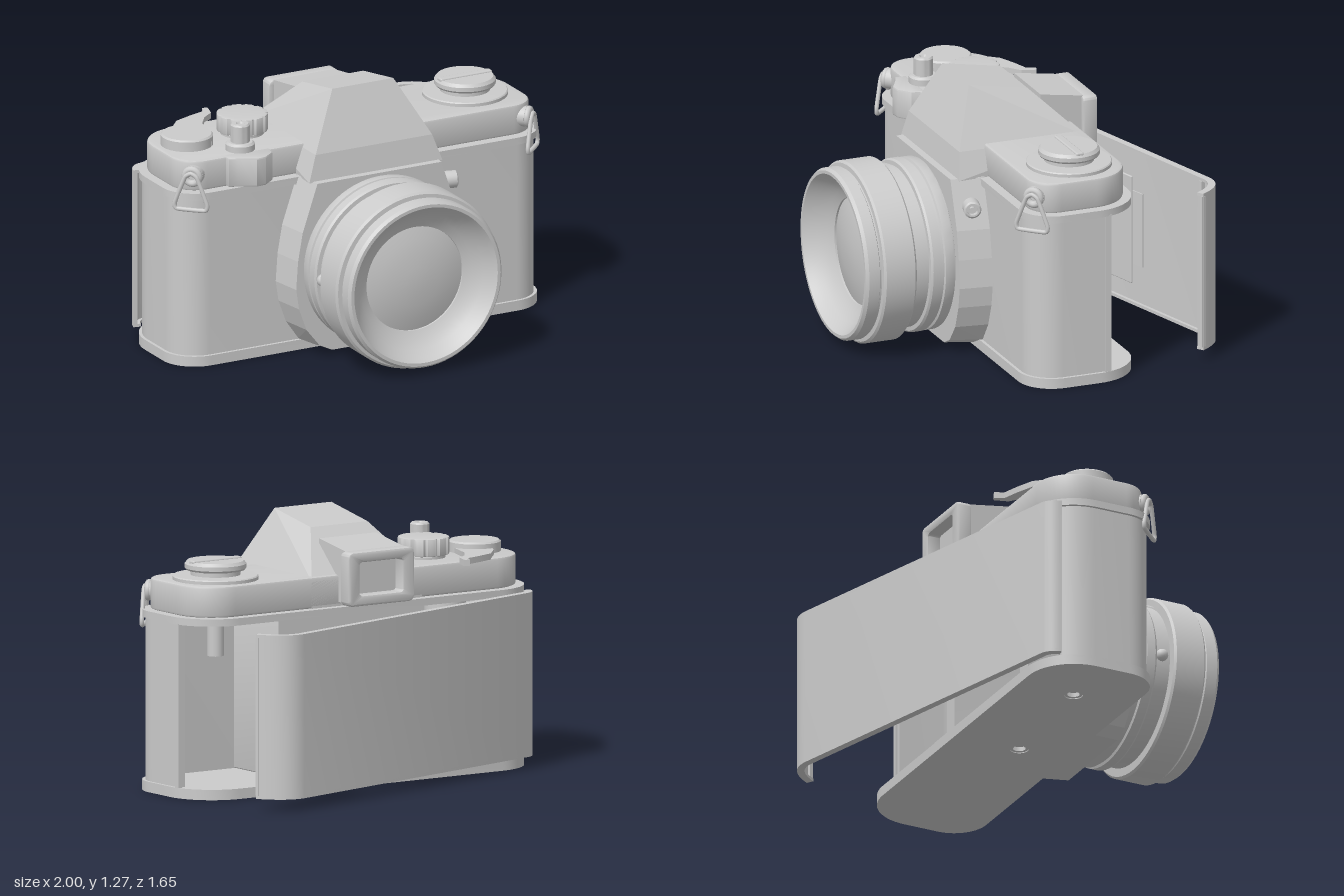
import * as THREE from 'three';
import { toCreasedNormals } from 'three/addons/utils/BufferGeometryUtils.js';
import { ConvexGeometry } from 'three/addons/geometries/ConvexGeometry.js';
import { RoundedBoxGeometry } from 'three/addons/geometries/RoundedBoxGeometry.js';

const grey = new THREE.MeshStandardMaterial({ color: 0xcccccc });

export function createModel() {
  const model = new THREE.Group();

  const add = (name, geo, pos = [0, 0, 0], parent = model) => {
    const mesh = new THREE.Mesh(geo, grey);
    mesh.name = name;
    mesh.position.set(...pos);
    parent.add(mesh);
    return mesh;
  };
  const crease = (geo, angle = 0.6) => toCreasedNormals(geo, angle);
  const v2 = (pts) => pts.map(([x, y]) => new THREE.Vector2(x, y));

  // Upright slab from a plan outline of [x, z] points
  const slab = (pts, y0, y1, holes = [], bevel = 0) => {
    const shape = new THREE.Shape(v2(pts.map(([x, z]) => [x, -z])));
    for (const [x, z, r] of holes) shape.holes.push(new THREE.Path().absarc(x, -z, r, 0, Math.PI * 2));
    const geo = new THREE.ExtrudeGeometry(shape, {
      depth: y1 - y0 - 2 * bevel, bevelEnabled: bevel > 0, bevelSize: bevel,
      bevelThickness: bevel, bevelOffset: -bevel, bevelSegments: 2, curveSegments: 20,
    });
    return crease(geo.rotateX(-Math.PI / 2).translate(0, y0 + bevel, 0));
  };
  // Turned part around the upright axis; profile runs upward in [radius, height]
  const turned = (profile, seg = 48, start = 0, sweep = Math.PI * 2) =>
    crease(new THREE.LatheGeometry(v2(profile), seg, start, sweep));
  const disc = (r, h, bevel = 0.008) =>
    turned([[0, 0], [r, 0], [r, h - bevel], [r - bevel, h], [0, h]]);
  const arc = (cx, cz, r, a0, a1, n = 14) => Array.from({ length: n + 1 }, (_, i) => {
    const a = (a0 + (a1 - a0) * i / n) * Math.PI / 180;
    return [cx + r * Math.cos(a), cz + r * Math.sin(a)];
  });
  // Band of thickness t along an open plan path
  const ribbon = (path, t) => {
    const inner = path.map(([x, z], i) => {
      const a = path[Math.max(i - 1, 0)], b = path[Math.min(i + 1, path.length - 1)];
      const dx = b[0] - a[0], dz = b[1] - a[1], l = Math.hypot(dx, dz);
      return [x - dz / l * t, z + dx / l * t];
    });
    return [...path, ...inner.reverse()];
  };
  const frontCorners = (d) => [...arc(0.83, 0.05, 0.17 - d, 0, 90), ...arc(-0.83, 0.05, 0.17 - d, 90, 180)];
  const outline = (d) => [...frontCorners(d),
    ...arc(-0.76, -0.13, 0.24 - d, 180, 270), ...arc(0.76, -0.13, 0.24 - d, 270, 360)];

  // Body shell, open at the back
  add('basePlate', slab(outline(0), 0, 0.05, [[0, -0.03, 0.045], [-0.66, -0.08, 0.045]]));
  for (const x of [0, -0.66]) {
    const z = x ? -0.08 : -0.03;
    add('tripodSocket', turned([[0.03, 0.004], [0.045, 0.004], [0.045, 0.08], [0, 0.08]], 24), [x, 0, z]);
    add('socketFloor', disc(0.04, 0.02), [x, 0.03, z]);
  }
  const wall = [[0.985, -0.18], ...frontCorners(0.015), ...arc(-0.76, -0.13, 0.225, 180, 222, 8)];
  add('bodyWall', slab(ribbon(wall, 0.035), 0.05, 0.84));
  add('doorSeat', new THREE.BoxGeometry(0.02, 0.79, 0.03), [0.985, 0.445, -0.175]);
  add('topPlateLip', slab(outline(0), 0.835, 0.87));
  add('topPlate', slab(outline(0.04), 0.87, 1.02, [], 0.012));

  // Film chamber inside the body
  const rect = (s, w, h, r) => {
    s.moveTo(-w + r, -h).lineTo(w - r, -h).quadraticCurveTo(w, -h, w, -h + r)
      .lineTo(w, h - r).quadraticCurveTo(w, h, w - r, h).lineTo(-w + r, h)
      .quadraticCurveTo(-w, h, -w, h - r).lineTo(-w, -h + r).quadraticCurveTo(-w, -h, -w + r, -h);
    return s;
  };
  const frame = (w, h, iw, ih, depth, r, bevel = 0) => {
    const s = rect(new THREE.Shape(), w, h, r);
    s.holes.push(rect(new THREE.Path(), iw, ih, r * 0.6));
    return crease(new THREE.ExtrudeGeometry(s, { depth: depth - 2 * bevel, bevelEnabled: bevel > 0,
      bevelSize: bevel, bevelThickness: bevel, bevelOffset: -bevel, bevelSegments: 2 }).translate(0, 0, bevel));
  };
  add('mirrorBox', frame(0.42, 0.395, 0.34, 0.23, 0.4, 0.01), [0, 0.445, -0.2]);
  for (const y of [0.19, 0.7]) add('filmRail', new THREE.BoxGeometry(1, 0.02, 0.03), [0, y, -0.21]);
  add('takeUpSpool', new THREE.CylinderGeometry(0.1, 0.1, 0.78, 24), [-0.65, 0.445, -0.05]);
  add('rewindFork', new THREE.CylinderGeometry(0.04, 0.04, 0.2, 20), [0.71, 0.75, -0.09]);

  // Front housing: tapered block behind the lens
  const half = [[0.28, 0.015], [0.35, 0.05], [0.42, 0.15], [0.46, 0.26], [0.475, 0.36], [0.465, 0.5], [0.44, 0.64], [0.36, 0.875]];
  const housing = [];
  for (const [x, y] of half) for (const s of [-1, 1]) {
    housing.push(new THREE.Vector3(s * x, y, 0.2));
    housing.push(new THREE.Vector3(s * (x - 0.025), y + (y < 0.1 ? 0.012 : 0), 0.365));
  }
  add('frontHousing', new ConvexGeometry(housing));

  // Viewfinder prism and eyepiece
  const prism = [[0.165, 1.275, 0.2], [0.165, 1.22, -0.1], [0.32, 1.0, -0.33], [0.32, 0.87, -0.33], [0.36, 0.87, 0.33], [0.315, 1.0, 0.31]];
  const hull = (half3) => new ConvexGeometry(half3.flatMap(([x, y, z]) =>
    [new THREE.Vector3(x, y, z), new THREE.Vector3(-x, y, z)]));
  add('prismCover', hull(prism));
  add('eyepieceNeck', hull([[0.165, 1.175, -0.17], [0.165, 1.14, -0.39], [0.165, 0.89, -0.39], [0.165, 0.89, -0.17]]));
  add('eyepieceFrame', frame(0.19, 0.13, 0.125, 0.08, 0.075, 0.03, 0.01), [0, 1.01, -0.455]);

  // Lens: stepped rings, flared hood and domed glass
  const lensProfile = [[0.38, 0.33], [0.4, 0.365], [0.412, 0.37], [0.416, 0.38], [0.416, 0.42], [0.405, 0.425], [0.405, 0.435],
    [0.418, 0.44], [0.418, 0.485], [0.41, 0.495], [0.39, 0.497], [0.39, 0.575], [0.43, 0.577], [0.44, 0.587],
    [0.44, 0.735], [0.43, 0.745], [0.408, 0.747], [0.408, 0.755], [0.416, 0.76], [0.416, 0.815], [0.404, 0.83],
    [0.388, 0.83], [0.37, 0.805], [0.34, 0.77], [0.3, 0.735], [0.26, 0.715], [0.26, 0.705]];
  add('lensBarrel', turned(lensProfile, 72).rotateX(Math.PI / 2), [0, 0.45, 0]);
  add('lensGlass', turned([[0.262, 0.705], [0.2, 0.722], [0.13, 0.734], [0.06, 0.741], [0, 0.743]], 64)
    .rotateX(Math.PI / 2), [0, 0.45, 0]);
  add('distanceScale', turned([[0.385, 0.52], [0.4, 0.52], [0.4, 0.572], [0.385, 0.572]], 24, Math.PI - 0.62, 1.24)
    .rotateX(Math.PI / 2), [0, 0.45, 0]);
  add('lensIndexKnob', new THREE.SphereGeometry(0.03, 16, 12), [-0.395, 0.45, 0.53]);

  // Flash socket on the side of the housing
  const socket = add('flashSocket', turned([[0.042, -0.03], [0.042, 0.03], [0.034, 0.036], [0.026, 0.036],
    [0.026, 0.01], [0.012, 0.01], [0.012, 0.03], [0, 0.03]], 24), [0.42, 0.75, 0.29]);
  socket.rotation.set(0, -0.25, -Math.PI / 2);

  // Film advance: counter dial and winding lever
  add('counterDial', disc(0.125, 0.055), [-0.8, 1.02, -0.08]);
  add('windingLever', slab([[-0.72, 0.02], [-0.665, -0.12], [-0.63, -0.24], [-0.58, -0.31], [-0.52, -0.355], [-0.5, -0.425],
    [-0.525, -0.435], [-0.545, -0.39], [-0.63, -0.365], [-0.72, -0.33], [-0.8, -0.24], [-0.86, -0.1]], 1.015, 1.045));

  // Speed dial with gripped rim
  const grip = Array.from({ length: 72 }, (_, i) => {
    const a = i / 72 * Math.PI * 2, r = i % 6 < 1 ? 0.112 : 0.123;
    return [r * Math.cos(a), r * Math.sin(a)];
  });
  add('speedDialBase', disc(0.105, 0.03), [-0.49, 1.01, -0.1]);
  add('speedDial', slab(grip, 1.035, 1.12, [], 0.006), [-0.49, 0, -0.1]);

  // Shutter button and the block beneath it
  add('shutterButton', turned([[0.07, 0], [0.07, 0.03], [0.06, 0.04], [0.046, 0.04], [0.046, 0.122], [0.04, 0.13],
    [0.02, 0.13], [0.014, 0.12], [0, 0.12]], 32), [-0.615, 1.02, 0.11]);
  add('shutterBlock', slab([[-0.73, 0.15], [-0.73, 0.21], [-0.69, 0.225], [-0.61, 0.27], [-0.56, 0.265], [-0.5, 0.22],
    [-0.485, 0.15]], 0.875, 1.02, [], 0.008));

  // Rewind knob with folding handle
  add('rewindKnob', turned([[0.205, 0], [0.205, 0.015], [0.2, 0.02], [0.12, 0.022], [0.12, 0.042], [0.14, 0.046],
    [0.147, 0.055], [0.147, 0.075], [0.135, 0.09], [0, 0.09]]), [0.71, 1.02, -0.09]);
  add('rewindHandle', new RoundedBoxGeometry(0.28, 0.02, 0.04, 2, 0.008), [0.71, 1.108, -0.09]);

  // Strap lugs with triangular rings
  for (const s of [-1, 1]) {
    const lug = new THREE.Group();
    lug.name = 'strapLug';
    lug.position.set(s * 0.9, 0.95, 0.165);
    lug.rotation.y = s * Math.PI / 4;
    model.add(lug);
    add('lugPost', new THREE.CylinderGeometry(0.05, 0.05, 0.07, 24).rotateX(Math.PI / 2), [0, 0, -0.03], lug);
    add('lugEye', new THREE.TorusGeometry(0.035, 0.017, 10, 24), [0, 0, 0.015], lug);
    const loop = [[0, 0.02], [0.03, 0], [0.08, -0.13], [0.07, -0.16], [-0.07, -0.16], [-0.08, -0.13], [-0.03, 0]]
      .map(([x, y]) => new THREE.Vector3(x, y, 0.035));
    add('lugRing', new THREE.TubeGeometry(new THREE.CatmullRomCurve3(loop, true, 'catmullrom', 0.2), 60, 0.011, 8, true), [0, 0, 0], lug);
  }

  // Back door, swung open on its hinge
  const door = new THREE.Group();
  door.name = 'backDoor';
  door.position.set(-0.92, 0, -0.375);
  door.rotation.y = 0.266;
  model.add(door);
  const curve = (a, b, c) => new THREE.QuadraticBezierCurve(...v2([a, b, c])).getPoints(10).map((p) => [p.x, p.y]);
  const doorPath = [...curve([-0.066, 0.06], [-0.045, 0.01], [0.01, 0]), ...curve([1.68, 0], [1.8, 0.005], [1.845, 0.165])];
  add('doorPanel', slab(ribbon(doorPath, 0.02), 0.06, 0.84), [0, 0, 0], door);
  for (const y of [0.055, 0.83]) add('doorRim', slab(ribbon(doorPath, 0.036), y, y + 0.015), [0, 0, 0], door);
  add('doorCatch', new THREE.BoxGeometry(0.035, 0.76, 0.02), [1.825, 0.45, 0.16], door);
  for (const x of [0.06, 1.66]) add('doorRib', new THREE.BoxGeometry(0.02, 0.77, 0.03), [x, 0.445, 0.025], door);
  add('plateSpring', new THREE.BoxGeometry(0.65, 0.37, 0.006), [0.875, 0.445, 0.042], door).rotation.y = 0.04;
  add('springMount', new THREE.BoxGeometry(0.1, 0.2, 0.04), [0.87, 0.445, 0.04], door);
  add('pressurePlate', new RoundedBoxGeometry(0.59, 0.54, 0.012, 2, 0.005), [0.87, 0.45, 0.066], door);

  return model;
}
